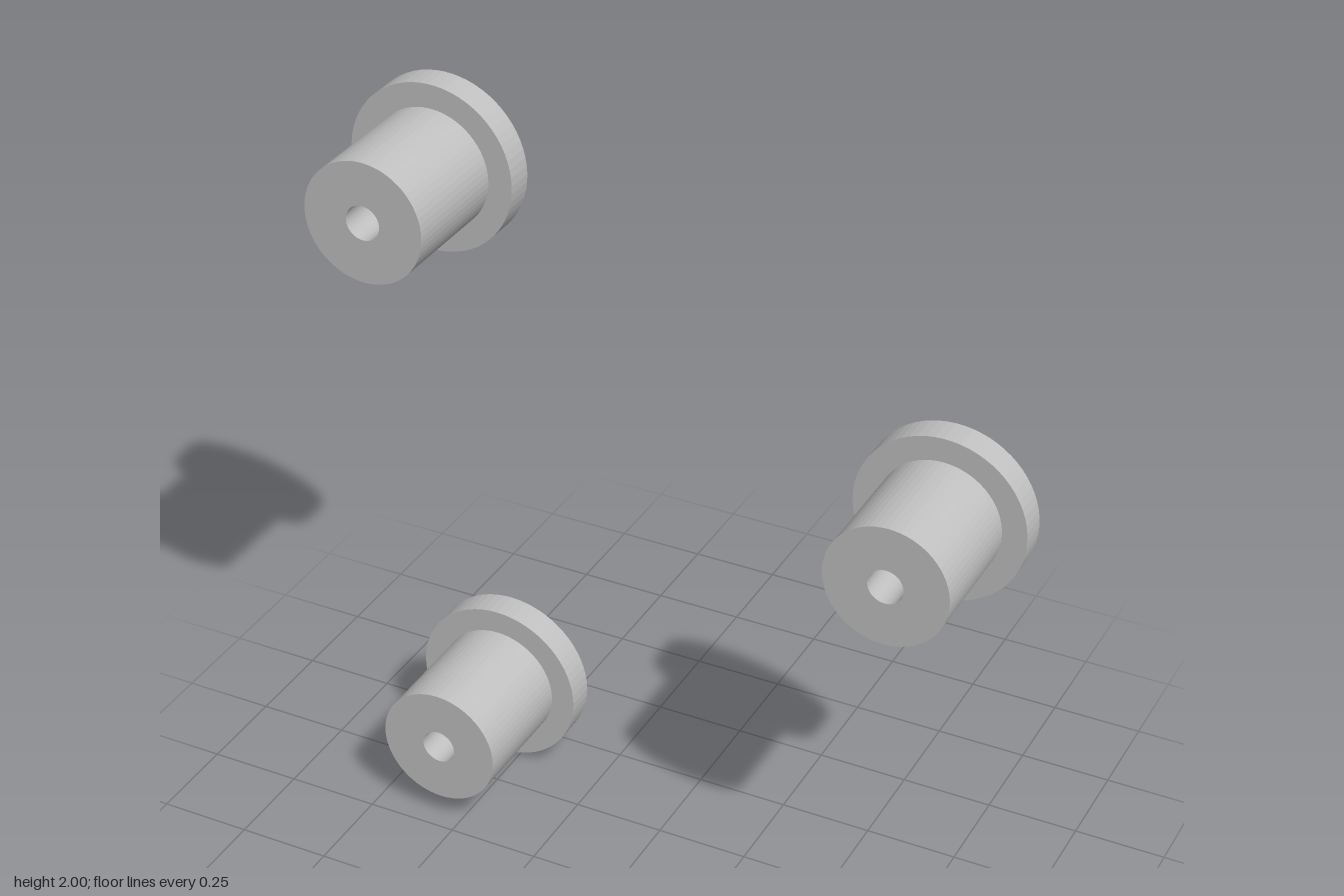
import * as THREE from 'three';

const HOLE = 0.047, BODY = 0.165, FLANGE = 0.231;
const BACK = -0.206, STEP = -0.125, FRONT = 0.206;

// Flanged bushing with a through bore, turned about z
function bushingGeometry() {
  const profile = [
    [HOLE, BACK], [FLANGE, BACK], [FLANGE, STEP],
    [BODY, STEP], [BODY, FRONT], [HOLE, FRONT], [HOLE, BACK],
  ].map(([r, z]) => new THREE.Vector2(r, z));
  return new THREE.LatheGeometry(profile, 64).rotateX(Math.PI / 2);
}

export function createModel() {
  const model = new THREE.Group();
  model.name = 'bushingSet';

  const grey = new THREE.MeshStandardMaterial({ color: 0xc0c0c0 });
  grey.name = 'light grey';
  grey.flatShading = true;

  // Three identical bushings, flanges to the back
  const geometry = bushingGeometry();
  const places = {
    upperBushing: [-0.705, 1.769],
    middleBushing: [0.702, 1.131],
    lowerBushing: [-0.557, 0.231],
  };
  for (const [name, [x, y]] of Object.entries(places)) {
    const bushing = new THREE.Mesh(geometry, grey);
    bushing.name = name;
    bushing.position.set(x, y, 0);
    model.add(bushing);
  }
  return model;
}
